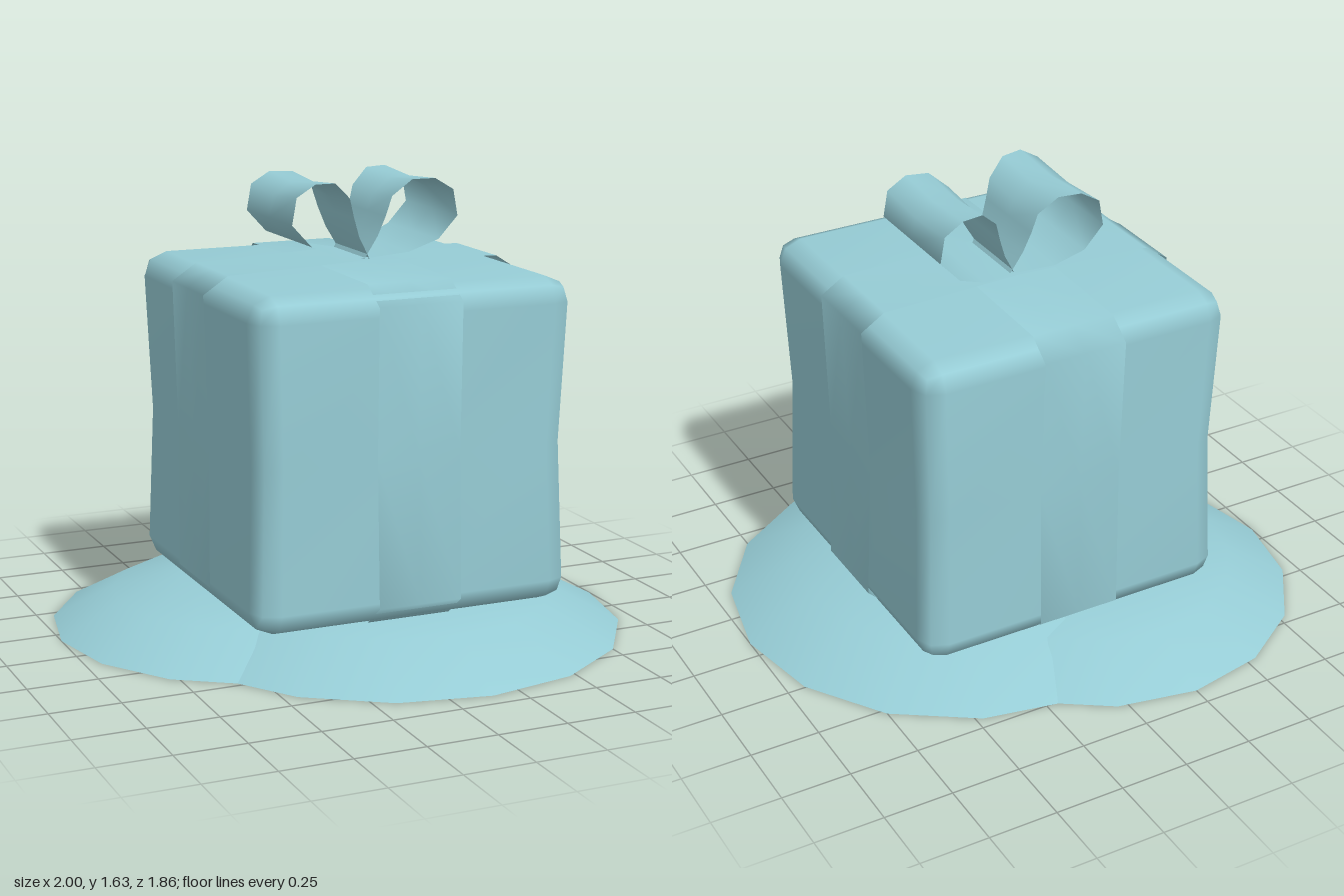
import * as THREE from 'three';
import { mergeVertices } from 'three/addons/utils/BufferGeometryUtils.js';

const paleBlue = new THREE.MeshStandardMaterial({ color: 0x96ccd5, side: THREE.DoubleSide });
paleBlue.name = 'paleBlue';

function add(group, name, geometry) {
  const mesh = new THREE.Mesh(geometry, paleBlue);
  mesh.name = name;
  group.add(mesh);
  return mesh;
}

// Low open dome with 16 sides
function moundGeometry(radius, height) {
  const profile = [90, 45, 22.5, 0].map((deg) => {
    const a = THREE.MathUtils.degToRad(deg);
    return new THREE.Vector2(radius * Math.sin(a), height * Math.cos(a));
  });
  return new THREE.LatheGeometry(profile, 16);
}

// Soft-edged box whose sides are pinched in at mid height
function boxGeometry(half, bevel, pinch) {
  let g = new THREE.BoxGeometry(2, 2, 2, 4, 4, 4);
  g.deleteAttribute('normal');
  g.deleteAttribute('uv');
  g = mergeVertices(g);
  const p = g.attributes.position;
  const v = new THREE.Vector3(), inner = new THREE.Vector3();
  const core = half.clone().subScalar(bevel);
  for (let i = 0; i < p.count; i++) {
    v.fromBufferAttribute(p, i);
    const waist = 1 - pinch * (Math.abs(v.y) < 0.25 ? 1 : 0);
    const out = new THREE.Vector3();
    for (const k of ['x', 'y', 'z']) {
      inner[k] = core[k] * THREE.MathUtils.clamp(v[k] * 2, -1, 1);
      out[k] = Math.abs(v[k]) > 0.9 ? Math.sign(v[k]) : 0;
    }
    v.copy(inner).addScaledVector(out.normalize(), bevel);
    p.setXYZ(i, v.x * waist, v.y, v.z * waist);
  }
  g.computeVertexNormals();
  return g;
}

// Thin band that follows an (x, y) path and spreads along z; the cross-section has 3 points
function bandGeometry(path, halfWidth, sag = () => 0) {
  const pos = [], index = [];
  path.forEach(([x, y], i) => {
    for (const s of [-1, 0, 1]) pos.push(x, y - (s === 0 ? sag(x, y) : 0), s * halfWidth(x, y));
    if (i === 0) return;
    for (let j = 0; j < 2; j++) {
      const a = (i - 1) * 3 + j, b = i * 3 + j;
      index.push(a, a + 1, b, b, a + 1, b + 1);
    }
  });
  const g = new THREE.BufferGeometry();
  g.setAttribute('position', new THREE.Float32BufferAttribute(pos, 3));
  g.setIndex(index);
  g.computeVertexNormals();
  return g;
}

export function createModel() {
  const group = new THREE.Group();

  // Two overlapping ground mounds
  add(group, 'largeMound', moundGeometry(0.85, 0.188)).position.set(0.15, 0, 0.08);
  add(group, 'smallMound', moundGeometry(0.75, 0.166)).position.set(-0.25, 0, -0.18);

  // Wrapped box
  const box = boxGeometry(new THREE.Vector3(0.588, 0.575, 0.592), 0.085, 0.03);
  add(group, 'box', box).position.set(0.032, 0.745, 0.01);

  // Ribbon running over the left and right sides
  const sideLoop = [
    [0.03, 1.35], [-0.48, 1.33], [-0.57, 1.27], [-0.556, 0.75], [-0.56, 0.24], [-0.48, 0.165],
    [0.03, 0.16], [0.56, 0.17], [0.635, 0.24], [0.612, 0.75], [0.627, 1.28], [0.54, 1.335], [0.03, 1.35],
  ];
  add(group, 'sideRibbon', bandGeometry(sideLoop, () => 0.155));

  // Ribbon running over the front and back, drawn in (z, y) and turned a quarter
  const frontLoop = [
    [0, 1.338], [-0.52, 1.325], [-0.605, 1.26], [-0.583, 0.75], [-0.59, 0.22], [-0.5, 0.16],
    [0, 0.16], [0.52, 0.165], [0.618, 0.24], [0.598, 0.75], [0.608, 1.27], [0.51, 1.333], [0, 1.338],
  ];
  const frontRibbon = add(group, 'frontRibbon',
    bandGeometry(frontLoop.map(([z, y]) => [-z, y]), () => 0.153));
  frontRibbon.rotation.y = Math.PI / 2;
  frontRibbon.position.x = 0.03;

  // Bow: two mirrored loops, narrow at the knot
  const loop = [
    [-0.01, 1.35], [0.035, 1.43], [0.06, 1.5], [0.08, 1.57], [0.145, 1.628], [0.225, 1.63],
    [0.295, 1.588], [0.312, 1.495], [0.24, 1.417], [0.135, 1.375], [-0.01, 1.352],
  ];
  const width = (x) => 0.13 + 0.08 * Math.sin(Math.min(1, Math.abs(x) / 0.25) * Math.PI / 2);
  const sag = (x, y) => (y > 1.55 ? 0.015 : 0);
  for (const side of [-1, 1]) {
    const path = loop.map(([x, y]) => [side * x, y]);
    if (side > 0) path.reverse();
    const mesh = add(group, side > 0 ? 'leftBowLoop' : 'rightBowLoop', bandGeometry(path, width, sag));
    mesh.position.set(0.047, 0, -0.005);
  }
  return group;
}
